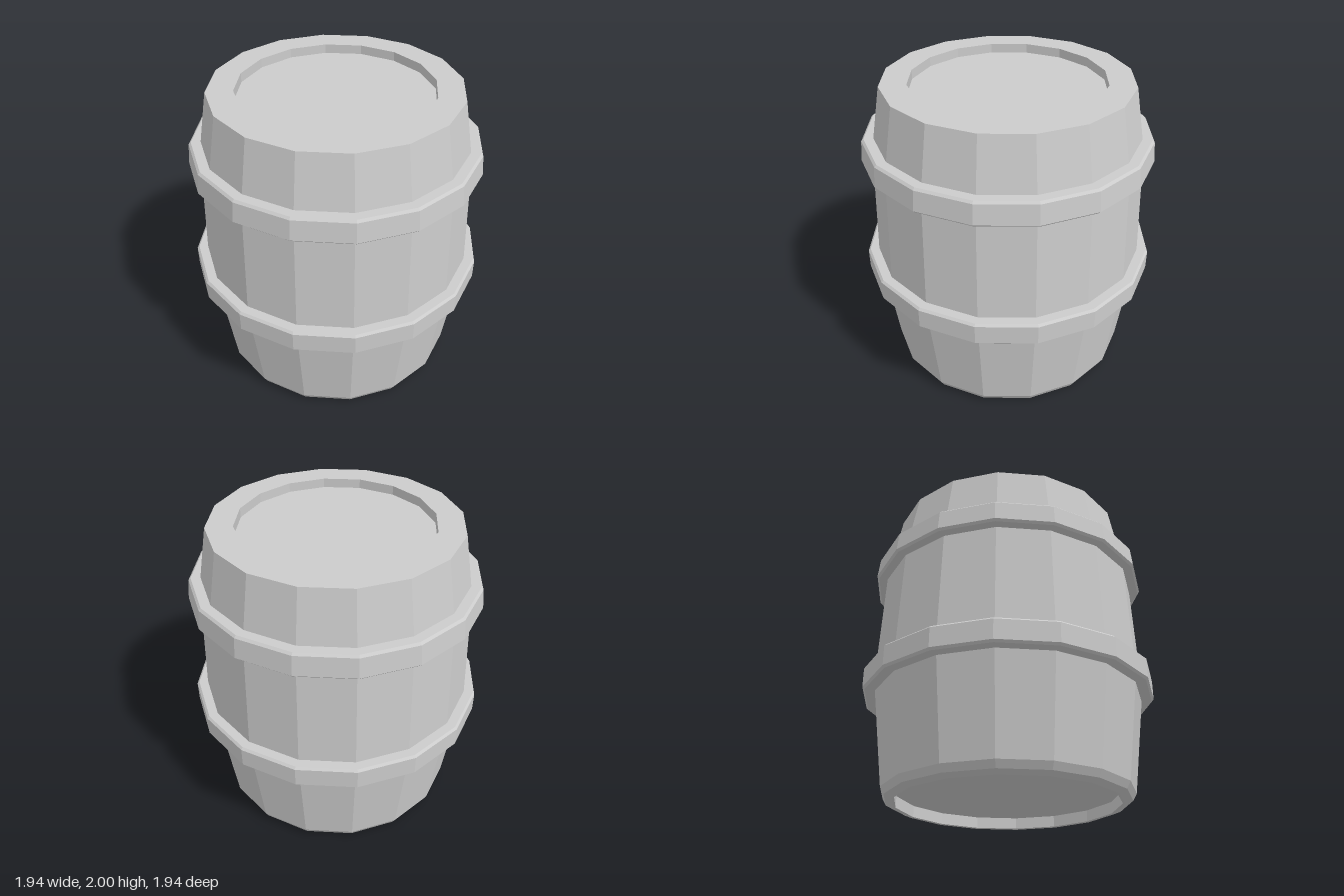
import * as THREE from 'three';

const SIDES = 16;
const material = new THREE.MeshStandardMaterial({ color: 0xcccccc, flatShading: true });

// Faceted solid of revolution from [radius, height] pairs, outer side running upwards
function turned(name, profile) {
  const points = profile.map(([r, y]) => new THREE.Vector2(r, y));
  const mesh = new THREE.Mesh(new THREE.LatheGeometry(points, SIDES), material);
  mesh.name = name;
  return mesh;
}

// Bevelled band around the barrel; the outer face may lean
function hoop(name, y0, y1, rBottom, rTop, rInner) {
  const b = 0.014;
  return turned(name, [
    [rInner, y0], [rBottom - b, y0], [rBottom, y0 + b],
    [rTop, y1 - b], [rTop - b, y1], [rInner, y1], [rInner, y0],
  ]);
}

export function createModel() {
  const barrel = new THREE.Group();
  barrel.name = 'barrel';

  // Body with recessed base, chamfered foot, bulging staves and recessed lid
  barrel.add(turned('body', [
    [0, 0.08], [0.72, 0.08], [0.72, 0.005], [0.735, 0], [0.785, 0.02], [0.81, 0.065],
    [0.9, 0.76], [0.866, 1.58], [0.79, 2],
    [0.62, 2], [0.62, 1.94], [0, 1.94],
  ]));

  // Two hoops
  barrel.add(hoop('lowerHoop', 0.68, 0.835, 0.97, 0.97, 0.86));
  barrel.add(hoop('upperHoop', 1.51, 1.665, 0.94, 0.926, 0.83));

  return barrel;
}
